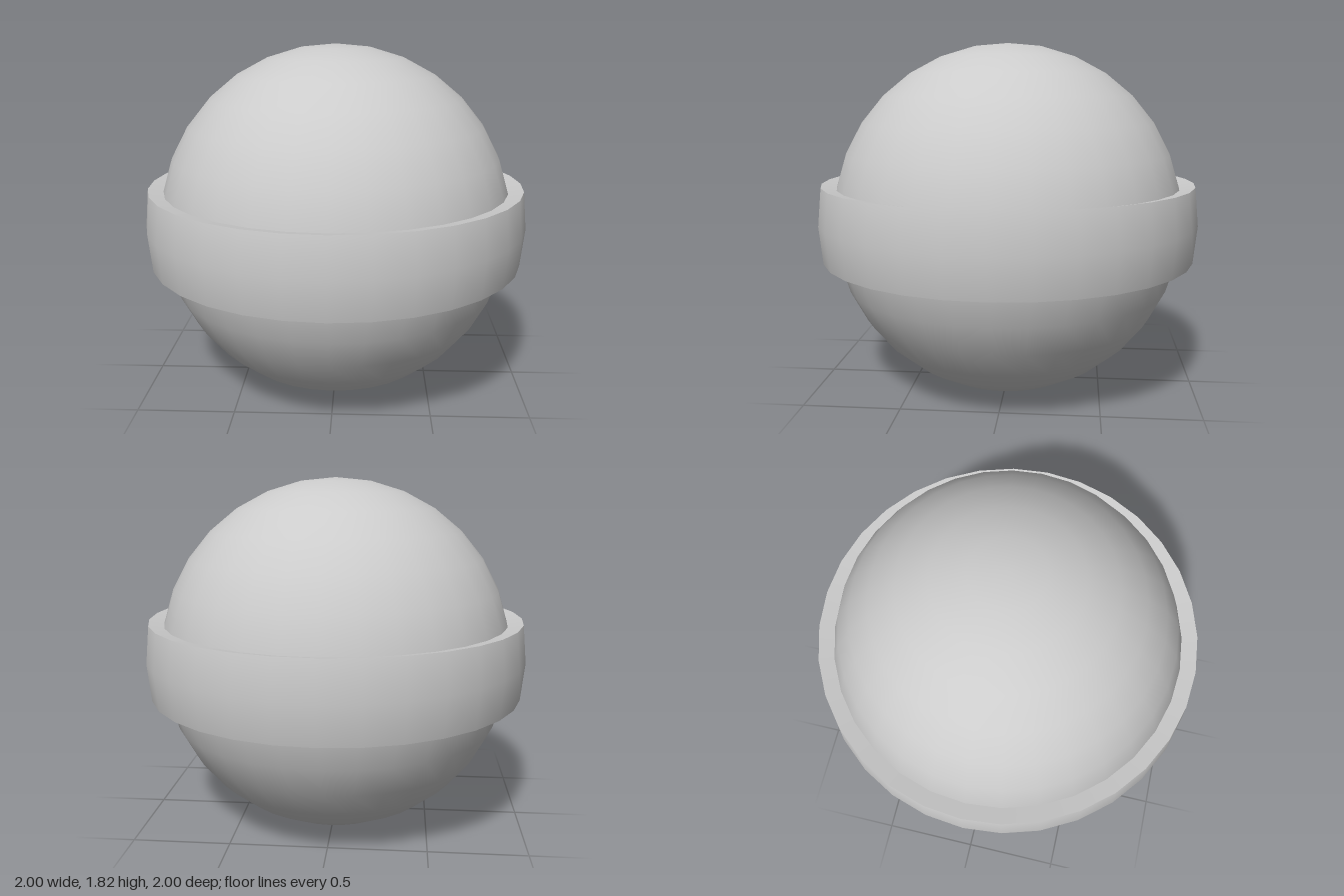
import * as THREE from 'three';

const SEGMENTS = 32;
const STEP = Math.PI / 16; // one latitude ring
const BALL = 0.92;
const BAND = 1;
const CENTRE = BALL * Math.cos(STEP); // the ball rests on its flat base

export function createModel() {
  const group = new THREE.Group();
  const material = new THREE.MeshStandardMaterial({ color: 0xcccccc });

  function add(name, geometry, y = CENTRE) {
    const mesh = new THREE.Mesh(geometry, material);
    mesh.name = name;
    mesh.position.y = y;
    group.add(mesh);
    return mesh;
  }

  // Spherical zone between two latitude rings counted from the top
  const zone = (radius, from, to) => new THREE.SphereGeometry(
    radius, SEGMENTS, to - from, 0, Math.PI * 2, from * STEP, (to - from) * STEP);

  // Point on the profile at a given ring
  const ringPoint = (radius, ring) => new THREE.Vector2(
    radius * Math.sin(ring * STEP), radius * Math.cos(ring * STEP));

  // Ball, cut flat at the bottom
  add('upperDome', zone(BALL, 0, 7));
  add('lowerDome', zone(BALL, 9, 15));
  add('base', new THREE.CircleGeometry(BALL * Math.sin(STEP), SEGMENTS), 0)
    .rotation.x = Math.PI / 2;

  // Raised equator band with its two radial rims
  add('band', zone(BAND, 7, 9));
  add('bandTopRim', new THREE.LatheGeometry([ringPoint(BAND, 7), ringPoint(BALL, 7)], SEGMENTS));
  add('bandBottomRim', new THREE.LatheGeometry([ringPoint(BALL, 9), ringPoint(BAND, 9)], SEGMENTS));

  return group;
}
